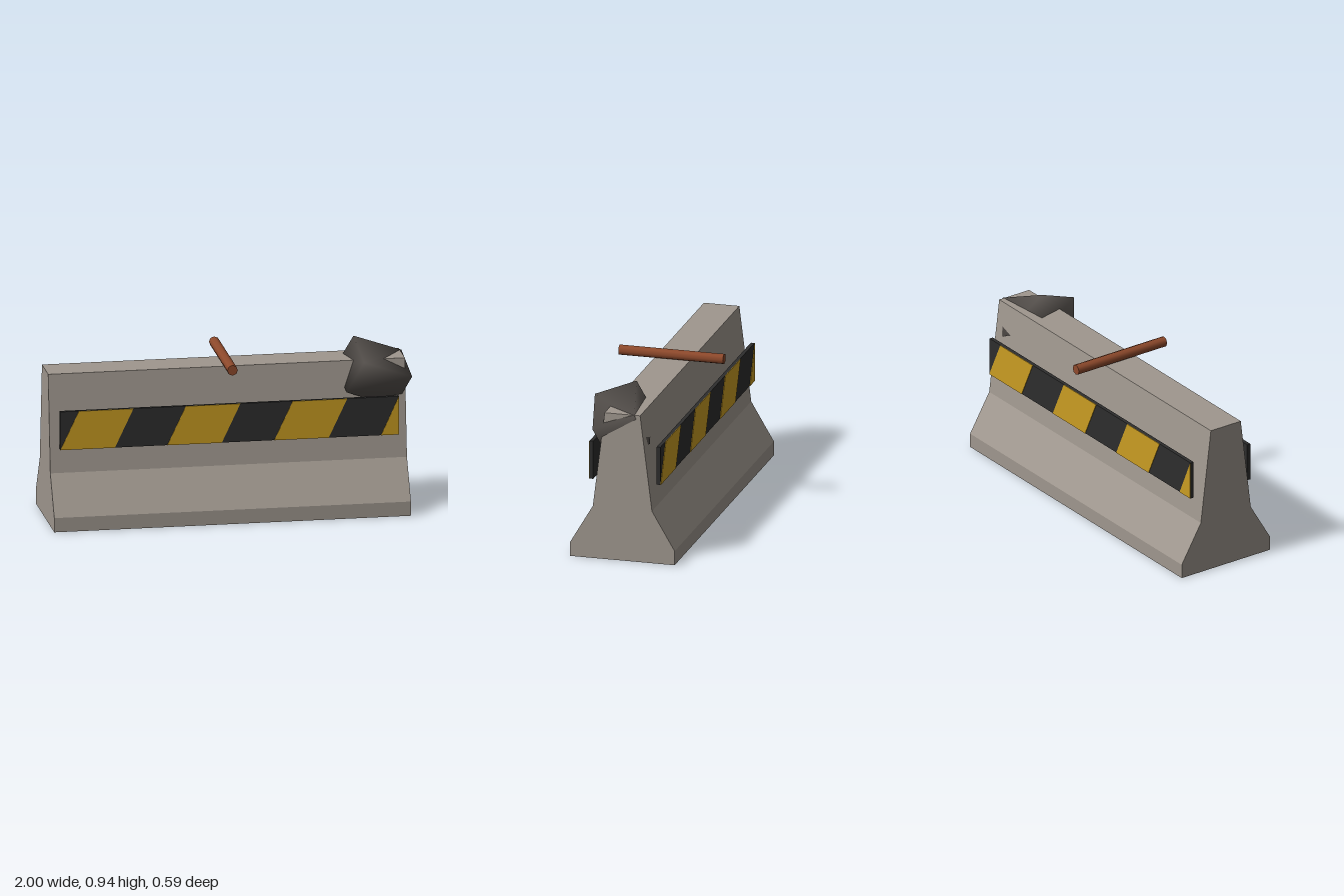
import * as THREE from 'three';
import { mergeVertices } from 'three/addons/utils/BufferGeometryUtils.js';

const mat = (name, color) => {
  const m = new THREE.MeshStandardMaterial({ color });
  m.name = name;
  return m;
};

export function createModel() {
  const concrete = mat('concrete', 0x9f978e);
  const black = mat('black', 0x2d2d2d);
  const yellow = mat('yellow', 0xc99c22);
  const rust = mat('rust', 0x8f4a2c);
  const rubble = mat('dark rubble', 0x55504c);

  const root = new THREE.Group();
  const add = (parent, name, geometry, material) => {
    const mesh = new THREE.Mesh(geometry, material);
    mesh.name = name;
    parent.add(mesh);
    return mesh;
  };

  const length = 1.965;
  const midX = -0.0175;
  const polygon = (pts) => new THREE.Shape(pts.map(([x, y]) => new THREE.Vector2(x, y)));

  // Concrete barrier: flared cross-section swept along x
  const half = [[0.295, 0], [0.295, 0.08], [0.167, 0.297], [0.1, 0.837]];
  const mirrored = half.map(([z, y]) => [-z, y]).reverse();
  const barrierGeo = new THREE.ExtrudeGeometry(polygon([...half, ...mirrored]), {
    depth: length, bevelEnabled: false,
  });
  barrierGeo.translate(0, 0, -length / 2).rotateY(Math.PI / 2).translate(midX, 0, 0);
  add(root, 'barrier', barrierGeo, concrete);

  // Warning boards, the back one turned half round
  const boardW = 1.865, boardH = 0.215, period = 0.589, stripe = 0.3, slant = 0.102;
  const makeBoard = (name) => {
    const board = new THREE.Group();
    board.name = name;
    add(board, 'boardPanel', new THREE.BoxGeometry(boardW, boardH, 0.021), black)
      .position.set(0, 0, 0.1895);
    for (let i = 0; i < 4; i++) {
      const x = -boardW / 2 + i * period;
      const end = boardW / 2;
      const pts = i < 3
        ? [[x, -boardH / 2], [x + stripe, -boardH / 2], [x + stripe + slant, boardH / 2], [x + slant, boardH / 2]]
        : [[x, -boardH / 2], [end, -boardH / 2], [end, boardH / 2]];
      const geo = new THREE.ExtrudeGeometry(polygon(pts), { depth: 0.003, bevelEnabled: false });
      add(board, 'yellowStripe', geo, yellow).position.z = 0.2;
    }
    board.position.set(midX, 0.5425, 0);
    root.add(board);
    return board;
  };
  makeBoard('frontBoard');
  makeBoard('backBoard').rotation.y = Math.PI;

  // Rusty bar lying across the top
  const barGeo = new THREE.CylinderGeometry(0.029, 0.029, 0.59, 8).rotateX(Math.PI / 2);
  add(root, 'rustyBar', barGeo, rust).position.set(midX, 0.866, 0);

  // Tilted chunk at the broken corner, with softly blended normals
  let chunkGeo = new THREE.BoxGeometry(1, 1, 1).translate(0.5, -0.5, 0.5);
  chunkGeo.deleteAttribute('normal');
  chunkGeo.deleteAttribute('uv');
  chunkGeo = mergeVertices(chunkGeo);
  const along = new THREE.Vector3(0.275, -0.11, -0.065);
  const across = new THREE.Vector3(0.02, -0.09, 0.23);
  const up = new THREE.Vector3().crossVectors(across, along).setLength(0.21);
  chunkGeo.applyMatrix4(new THREE.Matrix4().makeBasis(along, up, across).setPosition(0.7, 0.945, -0.005));
  chunkGeo.computeVertexNormals();
  add(root, 'cornerChunk', chunkGeo, rubble);

  return root;
}
